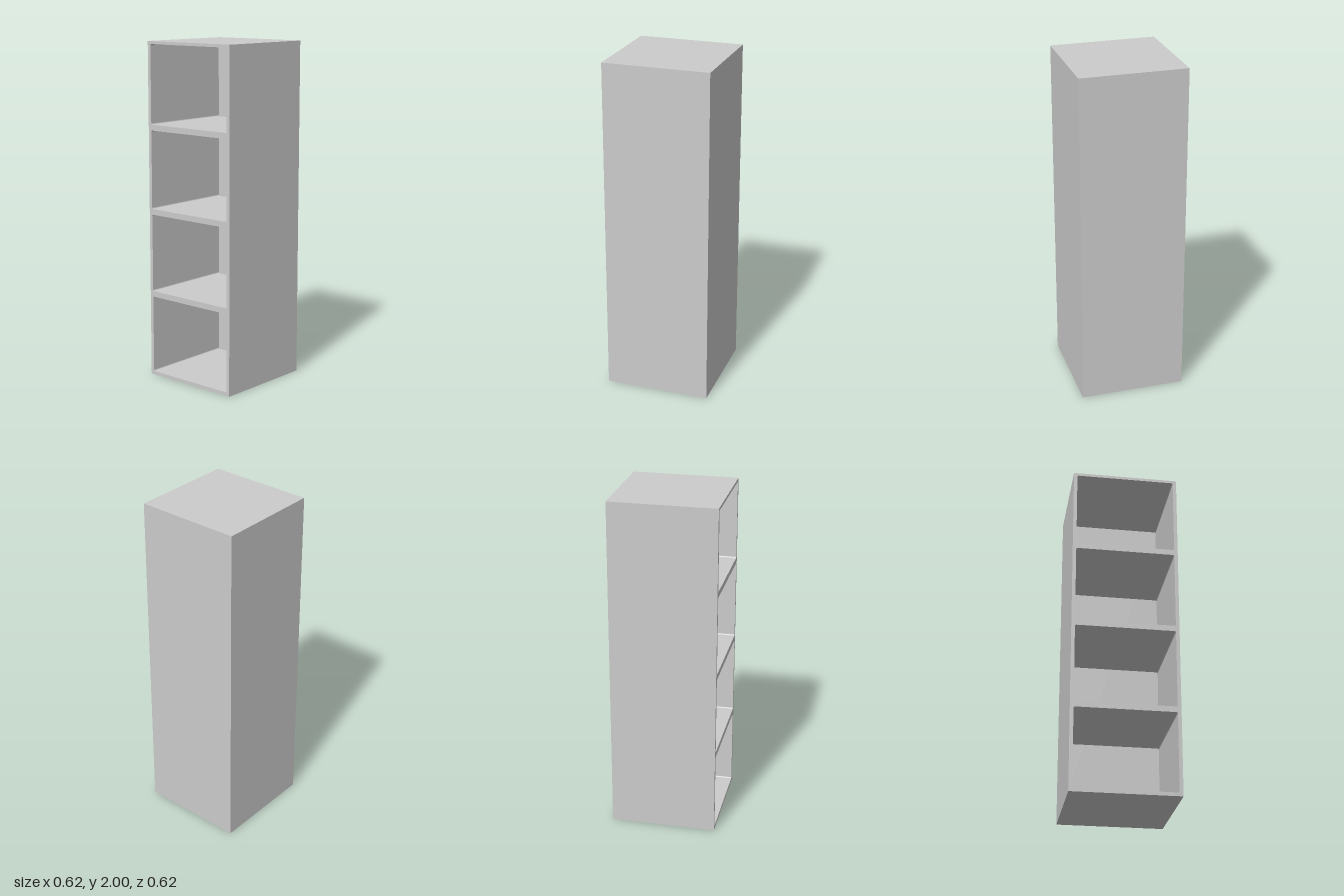
import * as THREE from 'three';

const HALF = 0.312, HEIGHT = 2, BACK = 0.033;
const OPEN_W = 0.582, OPEN_H = 0.465, PITCH = 0.499, FIRST = 0.021, RADIUS = 0.008;

// Rectangle with softened corners, used for each opening
function roundedRect(x, y, w, h, r) {
  const p = new THREE.Path();
  p.moveTo(x + r, y);
  p.lineTo(x + w - r, y);
  p.absarc(x + w - r, y + r, r, -Math.PI / 2, 0);
  p.lineTo(x + w, y + h - r);
  p.absarc(x + w - r, y + h - r, r, 0, Math.PI / 2);
  p.lineTo(x + r, y + h);
  p.absarc(x + r, y + h - r, r, Math.PI / 2, Math.PI);
  p.lineTo(x, y + r);
  p.absarc(x + r, y + r, r, Math.PI, Math.PI * 1.5);
  return p;
}

export function createModel() {
  const group = new THREE.Group();
  group.name = 'bookcase';
  const material = new THREE.MeshStandardMaterial({ color: 0xcccccc });

  // Sides, top, base and shelves: one frame with four openings
  const outline = new THREE.Shape([
    new THREE.Vector2(-HALF, 0), new THREE.Vector2(HALF, 0),
    new THREE.Vector2(HALF, HEIGHT), new THREE.Vector2(-HALF, HEIGHT),
  ]);
  for (let i = 0; i < 4; i++) {
    outline.holes.push(roundedRect(-OPEN_W / 2, FIRST + i * PITCH, OPEN_W, OPEN_H, RADIUS));
  }
  const frame = new THREE.Mesh(
    new THREE.ExtrudeGeometry(outline, { depth: 2 * HALF - BACK, bevelEnabled: false, curveSegments: 4 }),
    material,
  );
  frame.name = 'shelfFrame';
  frame.position.z = -HALF + BACK;
  group.add(frame);

  // Closed back
  const back = new THREE.Mesh(new THREE.BoxGeometry(2 * HALF, HEIGHT, BACK), material);
  back.name = 'backPanel';
  back.position.set(0, HEIGHT / 2, -HALF + BACK / 2);
  group.add(back);

  return group;
}
